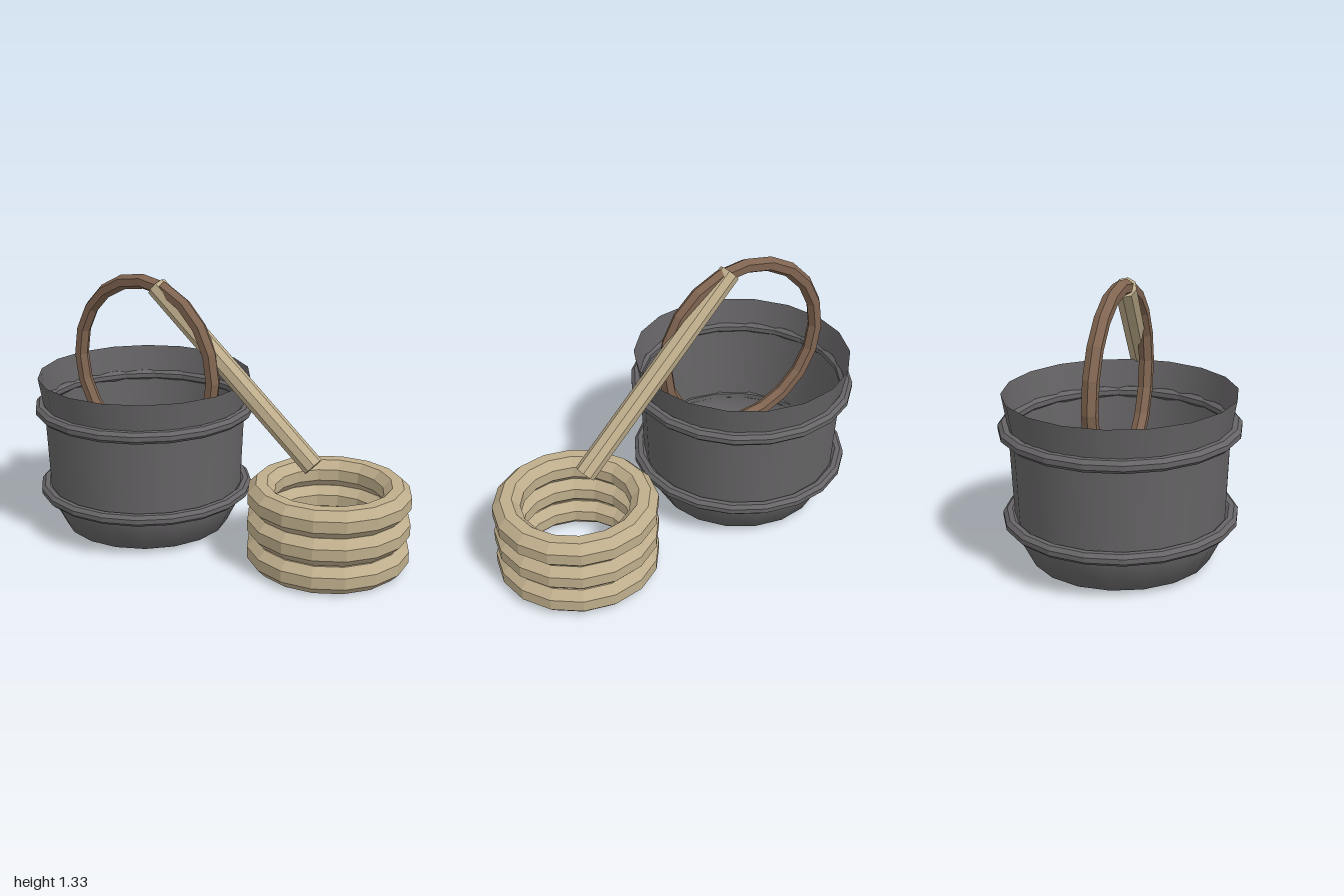
import * as THREE from 'three';

export function createModel() {
  const group = new THREE.Group();
  const iron = new THREE.MeshStandardMaterial({ name: 'dark iron', color: 0x666466, side: THREE.DoubleSide });
  const ironFlat = new THREE.MeshStandardMaterial({ name: 'dark iron band', color: 0x666466, flatShading: true });
  const wood = new THREE.MeshStandardMaterial({ name: 'brown wood', color: 0x7f6450, flatShading: true });
  const rope = new THREE.MeshStandardMaterial({ name: 'tan rope', color: 0xbfae8c, flatShading: true });

  function add(name, geometry, material, x, y, z) {
    const mesh = new THREE.Mesh(geometry, material);
    mesh.name = name;
    mesh.position.set(x, y, z);
    group.add(mesh);
    return mesh;
  }

  // Faceted ring with an octagonal section, flat on its top and sides
  function ring(radius, halfWidth, halfHeight, segments) {
    const points = [];
    for (let i = 0; i <= 8; i++) {
      const a = (i + 0.5) * Math.PI / 4;
      const k = 1 / Math.cos(Math.PI / 8);
      points.push(new THREE.Vector2(radius + Math.cos(a) * k * halfWidth, Math.sin(a) * k * halfHeight));
    }
    return new THREE.LatheGeometry(points, segments);
  }

  const bucketX = -0.435;

  // Thin bucket wall with a flared rim and an open base
  const profile = [[0.335, 0.025], [0.43, 0.025], [0.495, 0.155], [0.5, 0.22], [0.518, 0.64], [0.525, 0.69], [0.547, 0.82]];
  add('bucketWall', new THREE.LatheGeometry(profile.map(p => new THREE.Vector2(...p)), 18), iron, bucketX, 0, 0);

  // Bands around the bucket
  add('upperBand', ring(0.537, 0.03, 0.029, 20), ironFlat, bucketX, 0.655, 0);
  add('lowerBand', ring(0.525, 0.03, 0.028, 20), ironFlat, bucketX, 0.223, 0);

  // Hoop handle, its lower half hidden inside the bucket
  add('handle', new THREE.TorusGeometry(0.448, 0.038, 6, 20), wood, bucketX, 0.85, 0);

  // Stack of rope coils
  [0.07, 0.213, 0.352].forEach((y, i) =>
    add('coil' + (i + 1), ring(0.333, 0.067, 0.069, 16), rope, 0.6, y, -0.168));

  // Loose rope end leaning from the handle to the coils
  const top = new THREE.Vector3(-0.345, 1.285, 0.0);
  const bottom = new THREE.Vector3(0.53, 0.492, -0.132);
  const axis = top.clone().sub(bottom);
  const middle = top.clone().add(bottom).multiplyScalar(0.5);
  const strand = add('ropeStrand', new THREE.CylinderGeometry(0.053, 0.053, axis.length(), 8), rope, middle.x, middle.y, middle.z);
  strand.quaternion.setFromUnitVectors(new THREE.Vector3(0, 1, 0), axis.normalize());

  return group;
}
